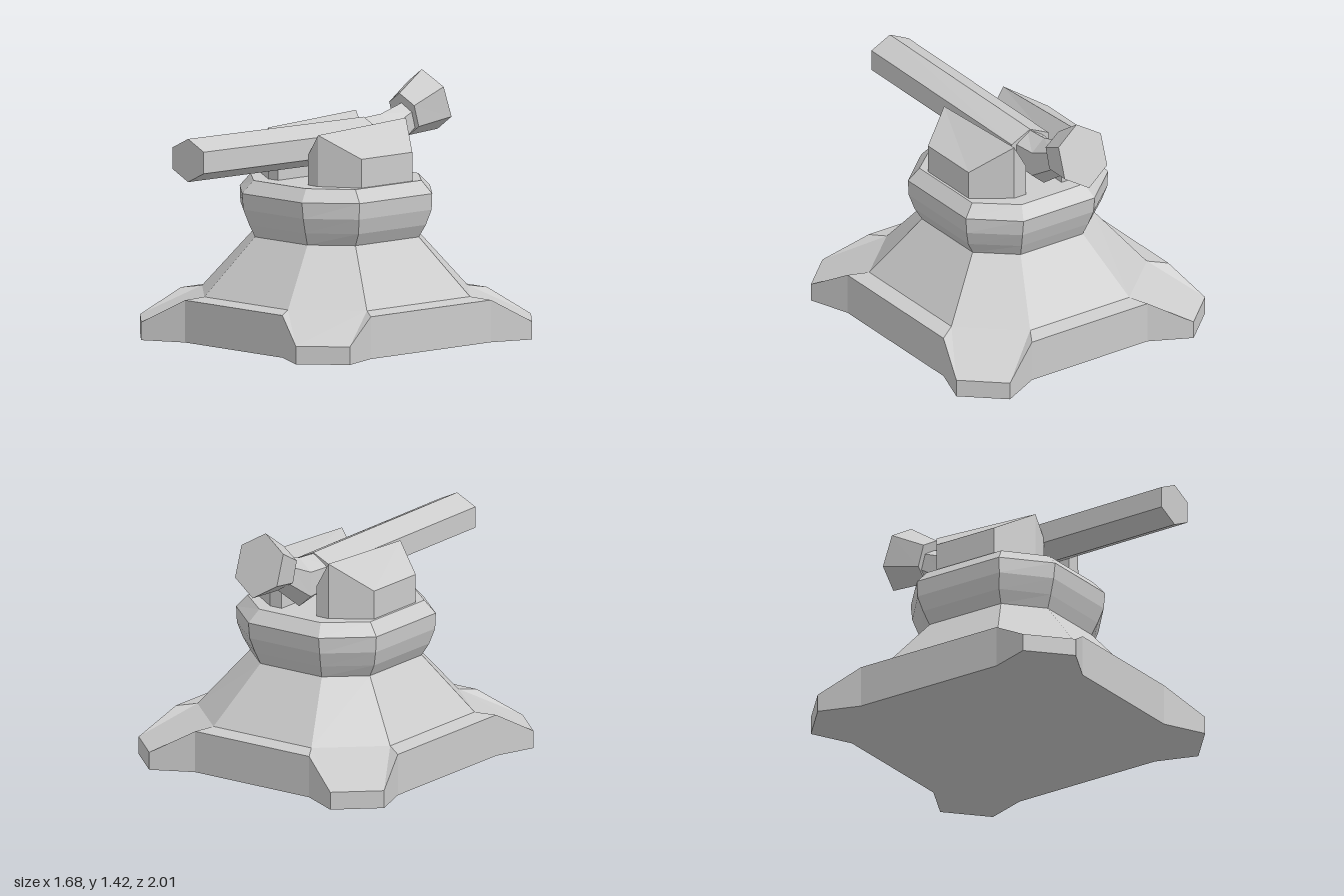
import * as THREE from 'three';

const CZ = -0.12; // centre of the base in z
const material = new THREE.MeshStandardMaterial({ color: 0xcccccc, flatShading: true });

// Skin a list of equal-length rings and cap both ends with fans
function loft(name, rings) {
  const pos = [];
  const tri = (a, b, c) => {
    const area = new THREE.Triangle(a, b, c).getArea();
    if (area > 1e-7) for (const p of [a, b, c]) pos.push(p.x, p.y, p.z);
  };
  const n = rings[0].length;
  for (let k = 0; k < rings.length - 1; k++) {
    const lo = rings[k], hi = rings[k + 1];
    for (let i = 0; i < n; i++) {
      const j = (i + 1) % n;
      tri(lo[i], lo[j], hi[j]);
      tri(lo[i], hi[j], hi[i]);
    }
  }
  const first = rings[0], last = rings[rings.length - 1];
  for (let i = 1; i < n - 1; i++) {
    tri(first[0], first[i + 1], first[i]);
    tri(last[0], last[i], last[i + 1]);
  }
  const geometry = new THREE.BufferGeometry();
  geometry.setAttribute('position', new THREE.Float32BufferAttribute(pos, 3));
  geometry.computeVertexNormals();
  const mesh = new THREE.Mesh(geometry, material);
  mesh.name = name;
  return mesh;
}

// Mirror one quadrant of [x, y, z] points into a full horizontal ring
function quadRing(points) {
  const ring = [];
  for (const [sx, sz] of [[1, 1], [1, -1], [-1, -1], [-1, 1]]) {
    const list = sx * sz > 0 ? points : [...points].reverse();
    for (const [x, y, z] of list) ring.push(new THREE.Vector3(sx * x, y, CZ + sz * z));
  }
  return ring;
}

const octagon = (y, x1, z1, x2, z2) => quadRing([[x1, y, z1], [x2, y, z2]]);

// Hexagon standing on a point, centred at (y, z), with a tilted up vector
function hexagon(y, z, halfWidth, upY, upZ = 0) {
  return [[0, 1], [1, 0.5], [1, -0.5], [0, -1], [-1, -0.5], [-1, 0.5]].map(
    ([u, v]) => new THREE.Vector3(u * halfWidth, y + v * upY, z + v * upZ));
}

// Side cheek with a ridged roof; side = 1 or -1
function cheek(name, side) {
  const plan = [[0.2, 0.205], [0.405, 0.07], [0.405, -0.315], [0.2, -0.46], [0.12, -0.46], [0.12, 0.205]];
  const heights = [1.17, 1.045, 1.045, 1.2, 1.06, 1.05];
  const ring = (yAt) => {
    const pts = plan.map(([x, z], i) => new THREE.Vector3(side * x, yAt(i), z));
    return side > 0 ? pts : [pts[0], ...pts.slice(1).reverse()];
  };
  return loft(name, [ring(() => 0.88), ring((i) => heights[i])]);
}

export function createModel() {
  const model = new THREE.Group();
  model.name = 'cannonTurret';

  // Plinth with four sloping corner feet
  const foot = (yIn, yOut) => quadRing(
    [[0.39, yIn, 0.775], [0.62, yOut, 0.89], [0.84, yOut, 0.69], [0.76, yIn, 0.455]]);
  model.add(loft('footedBase', [
    quadRing(Array(4).fill([0, 0, 0])).map(() => new THREE.Vector3(0, 0, CZ)),
    foot(0, 0),
    foot(0.235, 0.1),
    quadRing([[0.335, 0.25, 0.68], [0.335, 0.25, 0.68], [0.66, 0.25, 0.39], [0.66, 0.25, 0.39]]),
  ]));

  // Tapered pedestal
  model.add(loft('pedestal', [
    octagon(0.25, 0.335, 0.68, 0.66, 0.39),
    octagon(0.57, 0.21, 0.415, 0.41, 0.24),
  ]));

  // Flared collar under the turret
  model.add(loft('collar', [
    octagon(0.57, 0.21, 0.415, 0.41, 0.24),
    octagon(0.64, 0.225, 0.445, 0.45, 0.255),
    octagon(0.725, 0.24, 0.475, 0.475, 0.275),
    octagon(0.815, 0.24, 0.485, 0.48, 0.275),
    octagon(0.885, 0.21, 0.425, 0.42, 0.25),
  ]));

  // Cheeks either side of the barrel
  model.add(cheek('leftCheek', 1), cheek('rightCheek', -1));

  // Barrel
  model.add(loft('barrel', [
    hexagon(1.09, 1.0, 0.125, 0.12),
    hexagon(1.08, -0.33, 0.125, 0.117),
  ]));

  // Arm rising behind the barrel
  model.add(loft('rearArm', [
    hexagon(1.07, -0.3, 0.095, 0.12),
    hexagon(1.06, -0.46, 0.08, 0.14),
    hexagon(1.155, -0.64, 0.07, 0.09, 0.025),
  ]));

  // Flared counterweight at the end of the arm
  model.add(loft('counterweight', [
    hexagon(1.18, -0.635, 0.1, 0.12, 0.035),
    hexagon(1.245, -0.83, 0.143, 0.172, 0.06),
  ]));

  return model;
}
